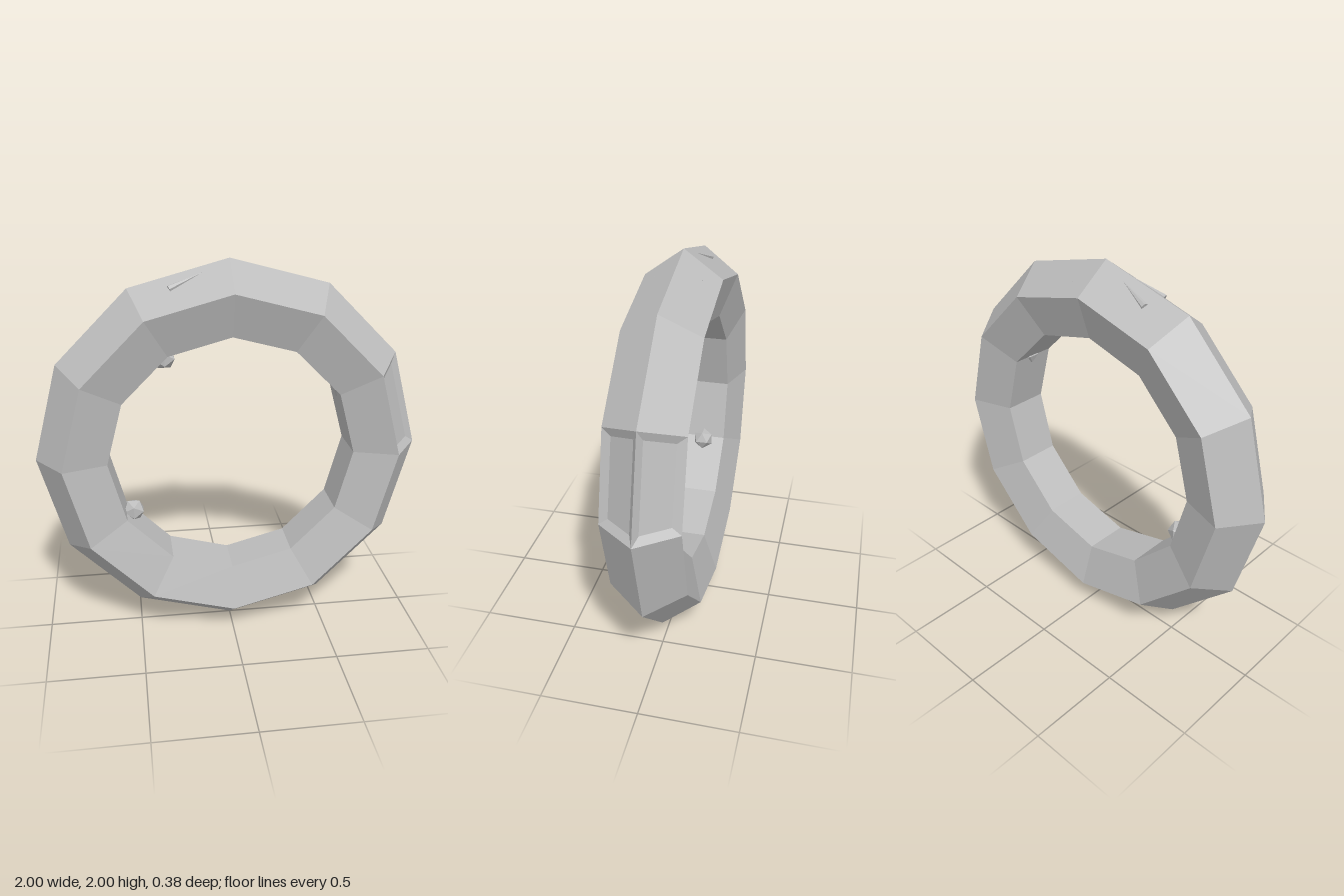
import * as THREE from 'three';

const SEGMENTS = 12, SIDES = 5, RING = 0.8, TUBE = 0.2;

const grey = new THREE.MeshStandardMaterial({ color: 0xbcbcbc, flatShading: true });
grey.name = 'grey';

// point on the faceted ring: i steps round the ring, j round the tube
function ringPoint(i, j) {
  const u = (i / SEGMENTS) * Math.PI * 2, v = (j / SIDES) * Math.PI * 2;
  const r = RING + TUBE * Math.cos(v);
  return new THREE.Vector3(r * Math.cos(u), r * Math.sin(u), TUBE * Math.sin(v));
}

// corners moved in from the edges and sunk below the face
function insetCorners(corners, inset, depth) {
  const normal = corners[1].clone().sub(corners[0])
    .cross(corners[3].clone().sub(corners[0])).normalize();
  return corners.map((p, k) => {
    const next = corners[(k + 1) % 4].clone().sub(p).normalize();
    const prev = corners[(k + 3) % 4].clone().sub(p).normalize();
    return p.clone().addScaledVector(next, inset).addScaledVector(prev, inset)
      .addScaledVector(normal, -depth);
  });
}

function quadGeometry(quads) {
  const points = quads.flatMap(([a, b, c, d]) => [a, b, c, a, c, d]);
  const geometry = new THREE.BufferGeometry().setFromPoints(points);
  geometry.computeVertexNormals();
  return geometry;
}

export function createModel() {
  const model = new THREE.Group();
  model.name = 'ring';
  const add = (geometry, name) => {
    const mesh = new THREE.Mesh(geometry, grey);
    mesh.name = name;
    mesh.position.y = 1;
    model.add(mesh);
    return mesh;
  };

  // faceted band, with two sunken panels on one outer segment
  const band = [], panels = [];
  for (let i = 0; i < SEGMENTS; i++) {
    for (let j = 0; j < SIDES; j++) {
      const corners = [ringPoint(i, j), ringPoint(i + 1, j), ringPoint(i + 1, j + 1), ringPoint(i, j + 1)];
      if (i === 0 && (j === 0 || j === SIDES - 1)) {
        const inner = insetCorners(corners, 0.04, 0.02);
        panels.push(inner);
        for (let k = 0; k < 4; k++) {
          const n = (k + 1) % 4;
          panels.push([corners[k], corners[n], inner[n], inner[k]]);
        }
      } else band.push(corners);
    }
  }
  add(quadGeometry(band), 'band');
  add(quadGeometry(panels), 'sunkenPanels');

  // faceted studs half buried in the inner face
  for (const [x, y, radius] of [[-0.33, 0.515, 0.06], [-0.515, -0.315, 0.06], [0.59, 0.32, 0.055], [0, 0.67, 0.055]]) {
    add(new THREE.IcosahedronGeometry(radius, 0), 'innerStud').position.set(x, y + 1, 0);
  }

  // thin spikes lying in the top faces, mirrored front and back
  const up = new THREE.Vector3(0, 1, 0);
  const spike = (from, to, radius, name) => {
    const axis = to.clone().sub(from);
    const mesh = add(new THREE.ConeGeometry(radius, axis.length(), 6), name);
    mesh.position.copy(from).add(to).multiplyScalar(0.5);
    mesh.quaternion.setFromUnitVectors(up, axis.normalize());
  };
  for (const s of [1, -1]) {
    spike(new THREE.Vector3(-0.3, 1.87, 0.068 * s), new THREE.Vector3(-0.14, 1.938, 0.035 * s), 0.018, 'topSpike');
    spike(new THREE.Vector3(0.1, 1.85, 0.1 * s), new THREE.Vector3(0.112, 1.895, 0.113 * s), 0.008, 'spikeTip');
  }
  return model;
}
